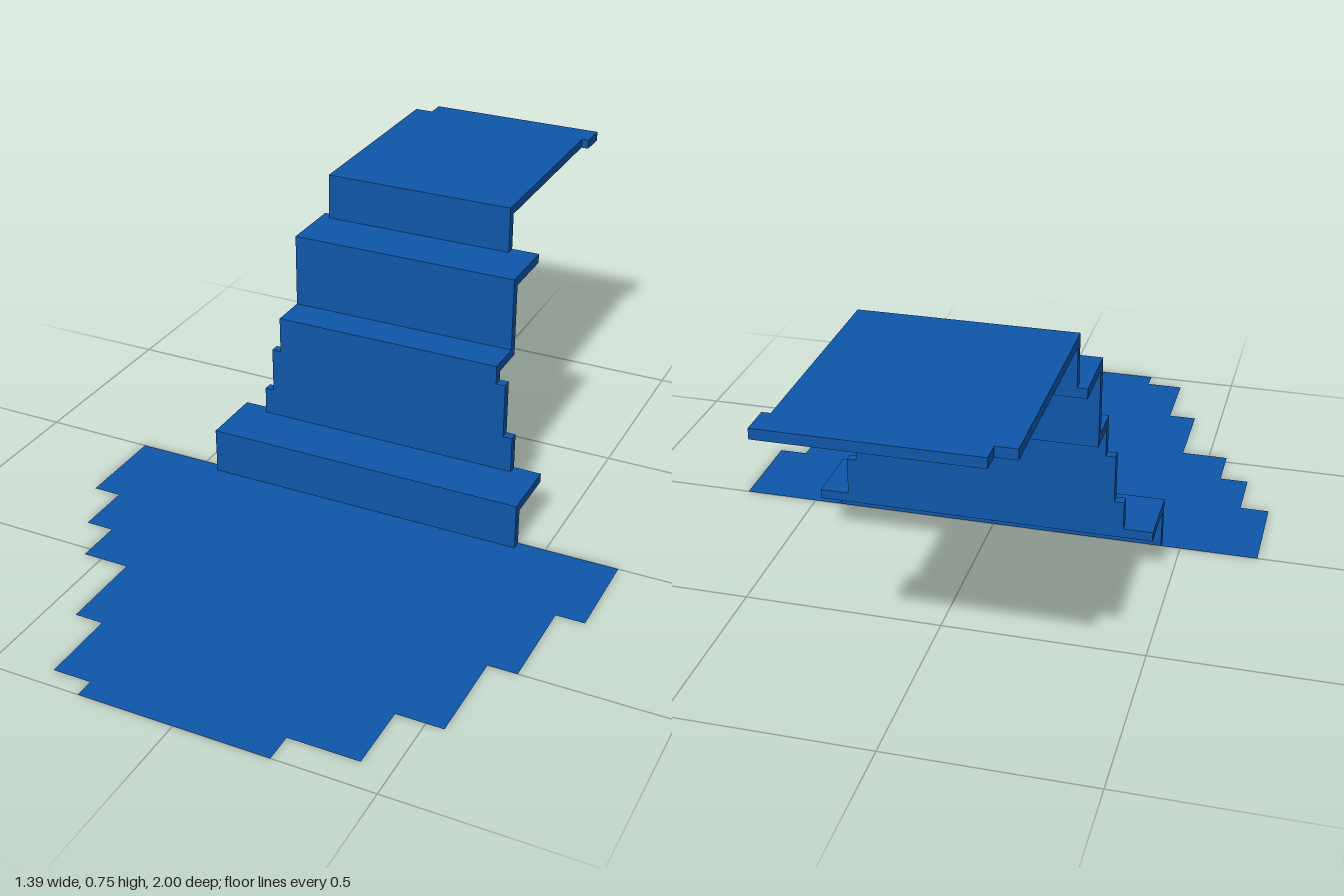
import * as THREE from 'three';

const T = 0.025; // thickness of the water sheets

// Outline from stepped edges; each step is [end, x], listed from the start upward
function steppedShape(start, leftSteps, rightSteps) {
  const edge = (steps) => {
    let from = start;
    return steps.flatMap(([to, x]) => {
      const pair = [new THREE.Vector2(x, from), new THREE.Vector2(x, to)];
      from = to;
      return pair;
    });
  };
  return new THREE.Shape([...edge(rightSteps), ...edge(leftSteps).reverse()]);
}

export function createModel() {
  const model = new THREE.Group();
  model.name = 'waterCascade';
  const water = new THREE.MeshStandardMaterial({ color: 0x0e56a8 });
  water.name = 'water blue';
  water.side = THREE.DoubleSide;

  const add = (name, geometry) => {
    const mesh = new THREE.Mesh(geometry, water);
    mesh.name = name;
    model.add(mesh);
    return mesh;
  };
  const slab = (name, x0, x1, y0, y1, z0, z1) =>
    add(name, new THREE.BoxGeometry(x1 - x0, y1 - y0, z1 - z0))
      .position.set((x0 + x1) / 2, (y0 + y1) / 2, (z0 + z1) / 2);
  const sheet = (shape) => new THREE.ExtrudeGeometry(shape, { depth: T, bevelEnabled: false });

  // Flat pool at the foot, with ragged stepped banks
  const pool = steppedShape(-1,
    [[-0.95, -0.25], [-0.75, -0.35], [-0.525, -0.425], [-0.4, -0.55], [-0.25, -0.625], [0, -0.7]],
    [[-0.925, 0.245], [-0.75, 0.425], [-0.5, 0.545], [-0.25, 0.62], [0, 0.695]]);
  add('pool', new THREE.ShapeGeometry(pool).rotateX(-Math.PI / 2));

  // Lowest fall and ledge
  slab('lowerFall', -0.45, 0.425, 0, 0.1, 0, T);
  slab('lowerLedge', -0.45, 0.425, 0.1, 0.125, -0.15, T);

  // Tall fall that widens in steps towards its foot
  const tall = steppedShape(0.125,
    [[0.2, -0.375], [0.325, -0.35], [0.4, -0.325]],
    [[0.225, 0.35], [0.375, 0.325], [0.4, 0.3]]);
  add('tallFall', sheet(tall).translate(0, 0, -0.15));
  slab('middleLedge', -0.325, 0.3, 0.4, 0.425, -0.25, -0.125);

  // Upper falls and ledge
  slab('middleFall', -0.325, 0.3, 0.425, 0.6, -0.25, -0.225);
  slab('upperLedge', -0.325, 0.3, 0.6, 0.625, -0.4, -0.225);
  slab('upperFall', -0.3, 0.225, 0.625, 0.725, -0.4, -0.375);

  // Top stream, with notched far corners
  const stream = steppedShape(0.375,
    [[0.95, -0.3], [1, -0.25]],
    [[0.925, 0.225], [1, 0.245]]);
  add('topStream', sheet(stream).rotateX(-Math.PI / 2).translate(0, 0.725, 0));

  return model;
}
